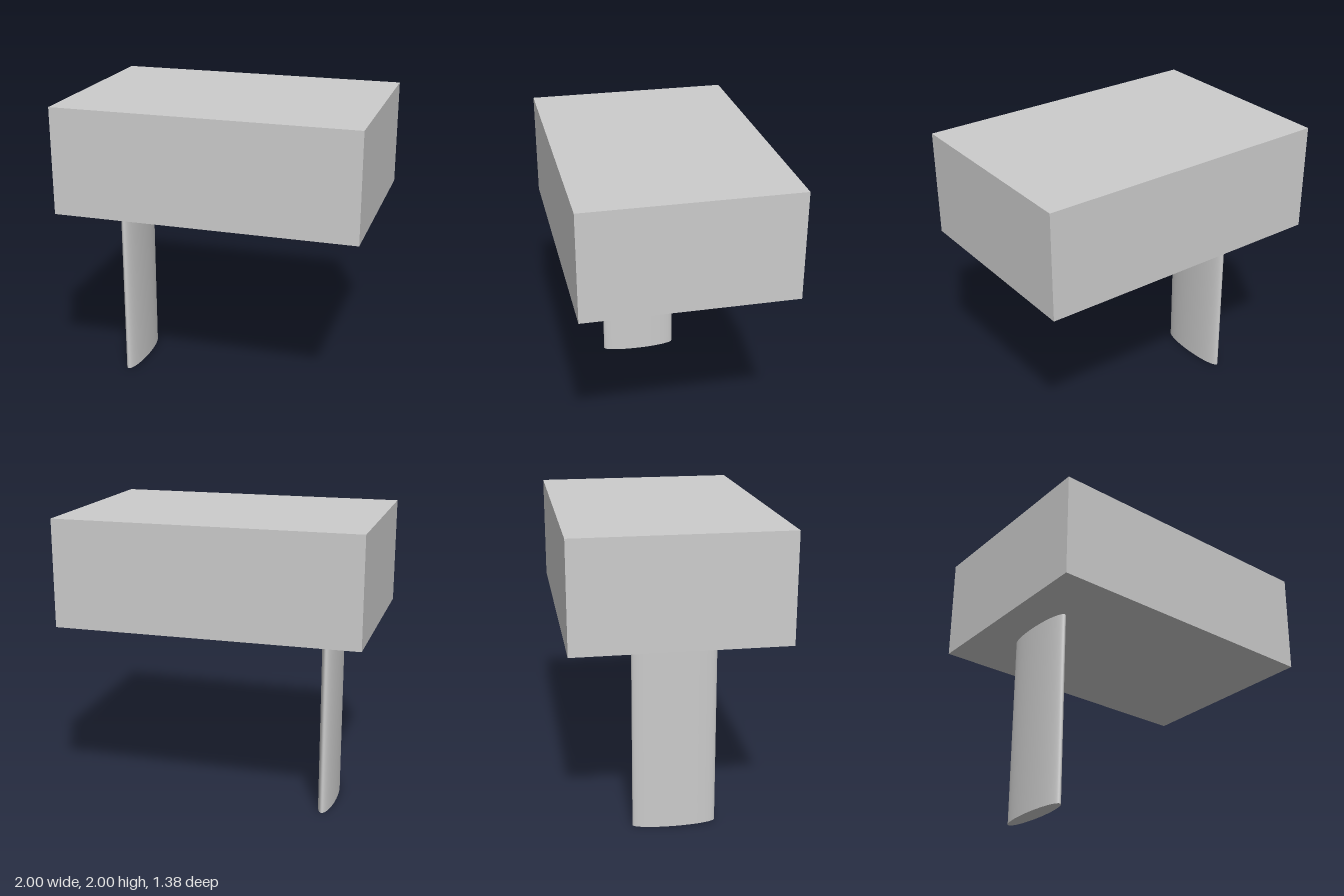
import * as THREE from 'three';

export function createModel() {
  const group = new THREE.Group();
  const material = new THREE.MeshStandardMaterial({ color: 0xcccccc });

  // Large rectangular block on top
  const block = new THREE.Mesh(new THREE.BoxGeometry(2, 0.71, 1.376), material);
  block.name = 'block';
  block.position.y = 1.645;
  group.add(block);

  // Upright post with an elliptical section, offset to the right
  const postGeometry = new THREE.CylinderGeometry(1, 1, 1.29, 64);
  postGeometry.scale(0.056, 1, 0.274);
  const post = new THREE.Mesh(postGeometry, material);
  post.name = 'post';
  post.position.set(-0.703, 0.645, 0);
  group.add(post);

  return group;
}
